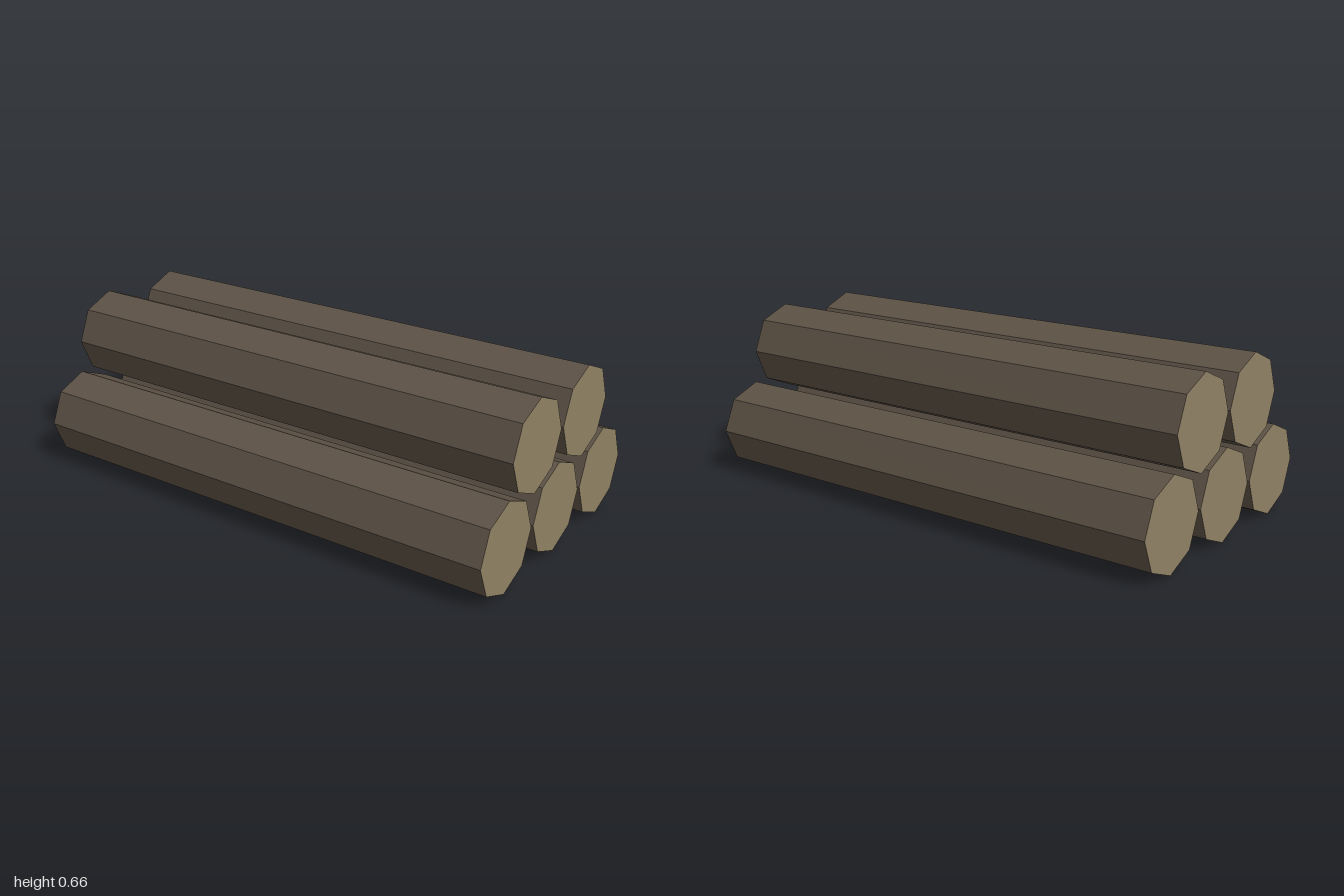
import * as THREE from 'three';

export function createModel() {
  const bark = new THREE.MeshStandardMaterial({ color: 0x5c5145 });
  const cutWood = new THREE.MeshStandardMaterial({ color: 0x908164 });
  bark.name = 'bark';
  cutWood.name = 'cutWood';
  bark.flatShading = cutWood.flatShading = true;

  const radius = 0.176;
  // Eight-sided log lying along x, with a corner pointing up
  const logGeometry = new THREE.CylinderGeometry(radius, radius, 2, 8).rotateZ(Math.PI / 2);

  const group = new THREE.Group();
  group.name = 'logPile';

  // Stacked rows: three logs below, two resting in the gaps above
  const spacing = 0.367;
  const rows = [
    { name: 'lowerLog', count: 3, y: radius },
    { name: 'upperLog', count: 2, y: 0.481 },
  ];
  for (const { name, count, y } of rows) {
    for (let i = 0; i < count; i++) {
      const log = new THREE.Mesh(logGeometry, [bark, cutWood, cutWood]);
      log.name = `${name}${i + 1}`;
      log.position.set(0, y, (i - (count - 1) / 2) * spacing);
      group.add(log);
    }
  }
  return group;
}
